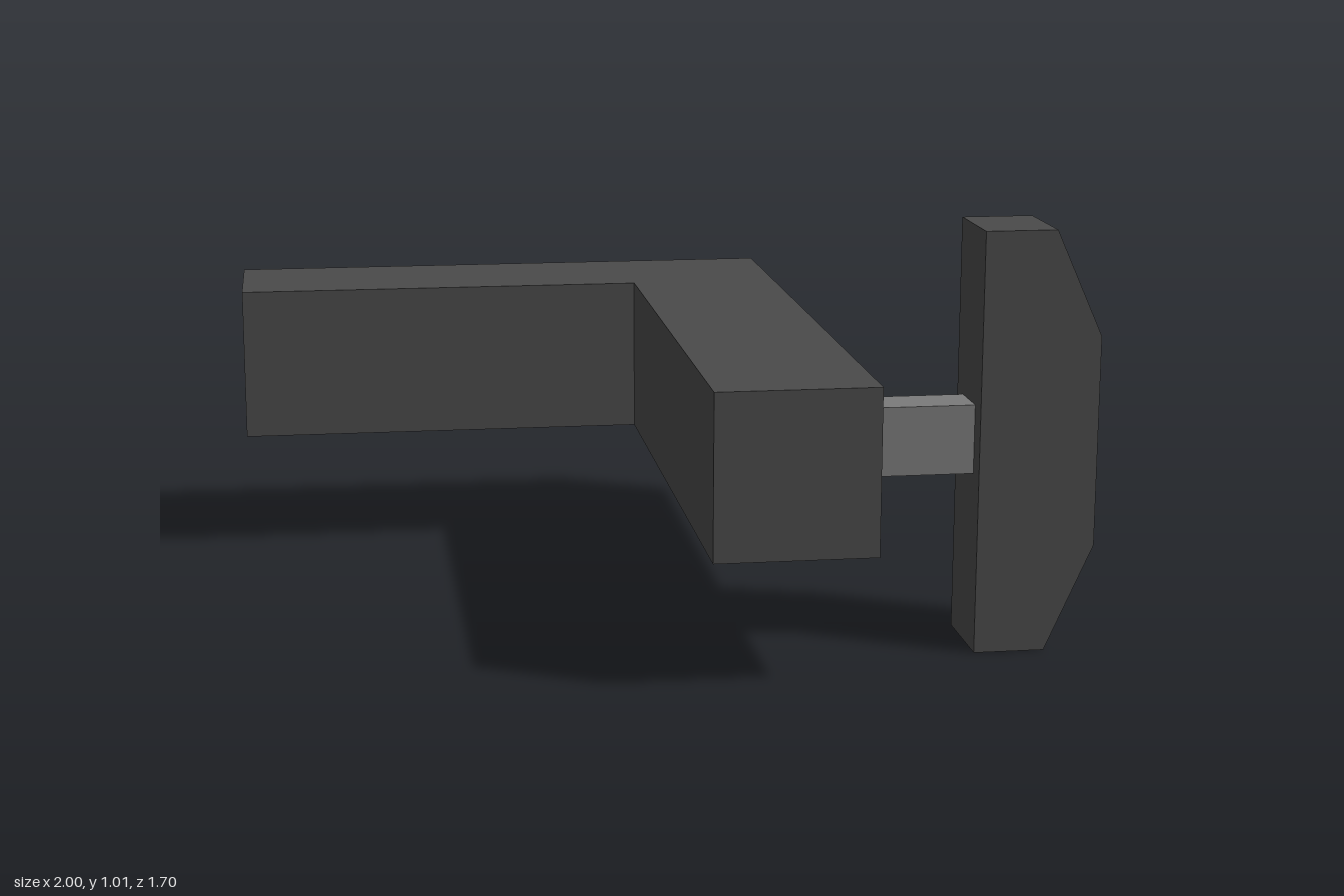
import * as THREE from 'three';

const darkGrey = new THREE.MeshStandardMaterial({ name: 'darkGrey', color: 0x4a4a4a });
const midGrey = new THREE.MeshStandardMaterial({ name: 'midGrey', color: 0x7b7b7b });

// Straight extrusion of a polygon outline
function prism(points, depth) {
  const shape = new THREE.Shape(points.map(([x, y]) => new THREE.Vector2(x, y)));
  return new THREE.ExtrudeGeometry(shape, { depth, bevelEnabled: false });
}

function addPart(group, name, geometry, material) {
  const mesh = new THREE.Mesh(geometry, material);
  mesh.name = name;
  group.add(mesh);
  return mesh;
}

export function createModel() {
  const model = new THREE.Group();
  model.name = 'angledArmWithKnob';

  // L-shaped arm: plan outline (x, -z) raised along y
  const arm = prism([
    [-1, 0.5], [0.05, 0.5], [0.05, -0.847], [0.432, -0.847], [0.432, 0.85], [-1, 0.85],
  ], 0.394);
  arm.rotateX(-Math.PI / 2);
  addPart(model, 'angledArm', arm, darkGrey).position.y = 0.311;

  // Short stem joining arm and head
  addPart(model, 'stem', new THREE.BoxGeometry(0.284, 0.166, 0.115), midGrey)
    .position.set(0.574, 0.51, 0.516);

  // Upright head with chamfered outer corners
  const head = prism([
    [0.716, 0], [0.886, 0], [1, 0.255], [1, 0.76], [0.886, 1.013], [0.716, 1.013],
  ], 0.217);
  addPart(model, 'head', head, darkGrey).position.z = 0.408;

  return model;
}
